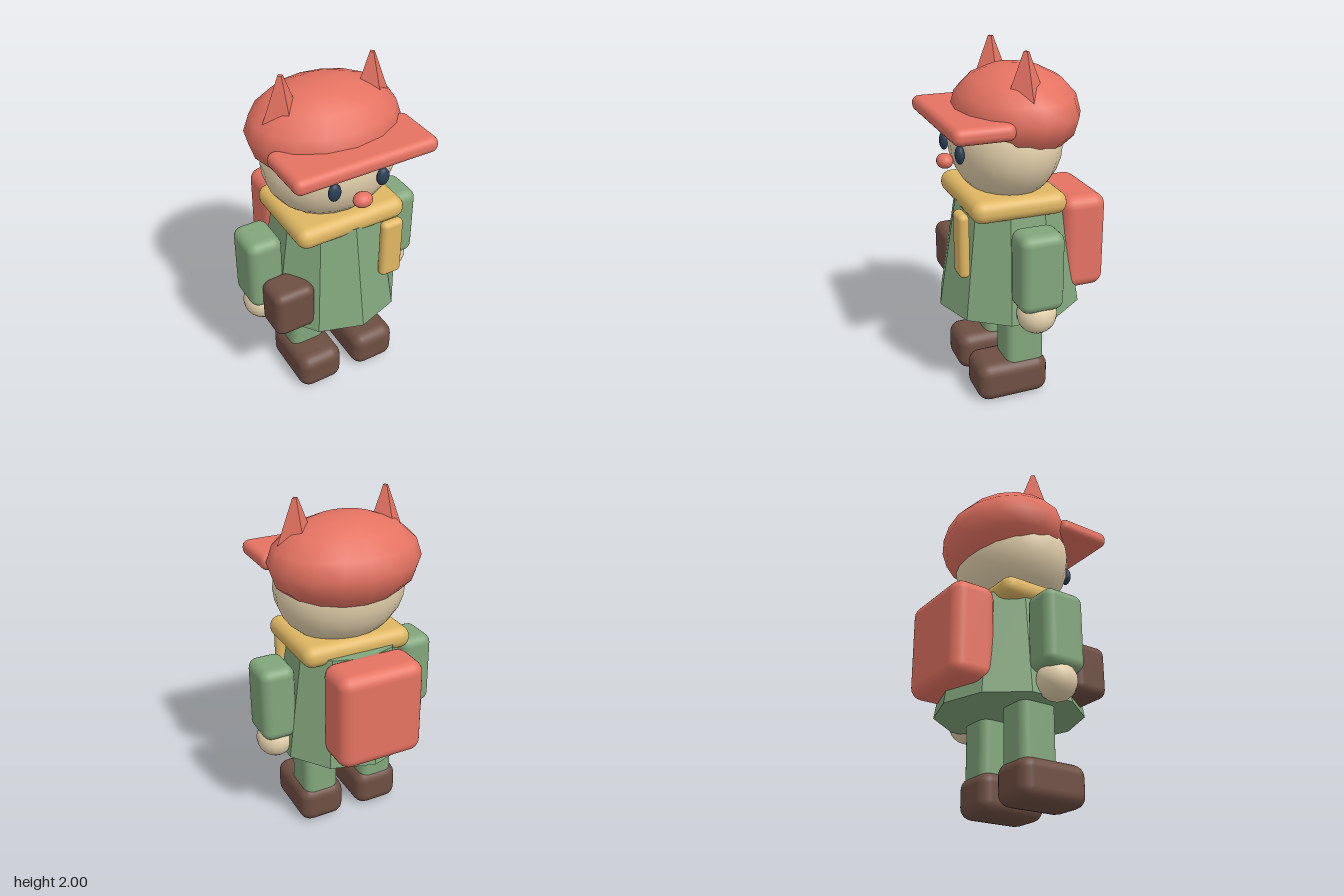
import * as THREE from 'three';
import { RoundedBoxGeometry } from 'three/addons/geometries/RoundedBoxGeometry.js';

const mat = (color, flatShading = false) => new THREE.MeshStandardMaterial({ color, flatShading });
const red = mat(0xe57362), redFlat = mat(0xe57362, true), skin = mat(0xe6d3ae);
const green = mat(0x82a67c), greenFlat = mat(0x82a67c, true);
const brown = mat(0x6e4f43), yellow = mat(0xdfb763), dark = mat(0x2a3f55);

export function createModel() {
  const group = new THREE.Group();

  const add = (name, geometry, material, x, y, z) => {
    const mesh = new THREE.Mesh(geometry, material);
    mesh.name = name;
    mesh.position.set(x, y, z);
    group.add(mesh);
    return mesh;
  };
  // Rounded box given by its [min, max] extent on each axis
  const box = (name, material, [x0, x1], [y0, y1], [z0, z1], r) =>
    add(name, new RoundedBoxGeometry(x1 - x0, y1 - y0, z1 - z0, 3, r), material,
      (x0 + x1) / 2, (y0 + y1) / 2, (z0 + z1) / 2);
  // Ellipsoid given by its centre and radii
  const ball = (name, material, [x, y, z], [rx, ry, rz], ws = 16, hs = 12) =>
    add(name, new THREE.SphereGeometry(1, ws, hs).scale(rx, ry, rz), material, x, y, z);

  // Flared ten-sided coat
  add('coat', new THREE.CylinderGeometry(0.315, 0.42, 0.63, 10), greenFlat, 0, 0.845, 0.035);

  // Head and face
  ball('head', skin, [0, 1.48, 0.055], [0.385, 0.33, 0.31], 20, 14);
  ball('nose', red, [0, 1.39, 0.4], [0.055, 0.042, 0.046]);

  // Cap with brim
  ball('cap', red, [0, 1.64, -0.004], [0.437, 0.255, 0.347], 16, 8);
  box('brim', red, [-0.417, 0.417], [1.58, 1.67], [0.135, 0.47], 0.04);

  // Scarf with hanging end
  box('scarf', yellow, [-0.33, 0.33], [1.11, 1.237], [-0.2, 0.345], 0.06);
  box('scarfEnd', yellow, [0.138, 0.272], [0.795, 1.165], [0.35, 0.412], 0.03);

  // Bags
  box('backpack', red, [-0.255, 0.255], [0.6, 1.165], [-0.475, -0.21], 0.07);
  box('pouch', brown, [-0.486, -0.24], [0.56, 0.853], [0.13, 0.345], 0.05);

  // Mirrored parts
  for (const [side, s] of [['left', 1], ['right', -1]]) {
    const span = (a, b) => (s > 0 ? [a, b] : [-b, -a]);
    ball(side + 'Eye', dark, [s * 0.145, 1.46, 0.36], [0.037, 0.052, 0.025]);
    add(side + 'Ear', new THREE.CylinderGeometry(0.015, 0.13, 0.3, 4), redFlat, s * 0.265, 1.85, 0.035);
    box(side + 'Arm', green, span(0.338, 0.542), [0.65, 1.097], [-0.092, 0.16], 0.055);
    ball(side + 'Hand', skin, [s * 0.435, 0.605, 0.035], [0.108, 0.11, 0.112]);
    box(side + 'Leg', green, span(0.08, 0.293), [0.15, 0.64], [-0.08, 0.15], 0.05);
    box(side + 'Shoe', brown, span(0.046, 0.324), [0, 0.236], [-0.1, 0.325], 0.07);
  }
  return group;
}
